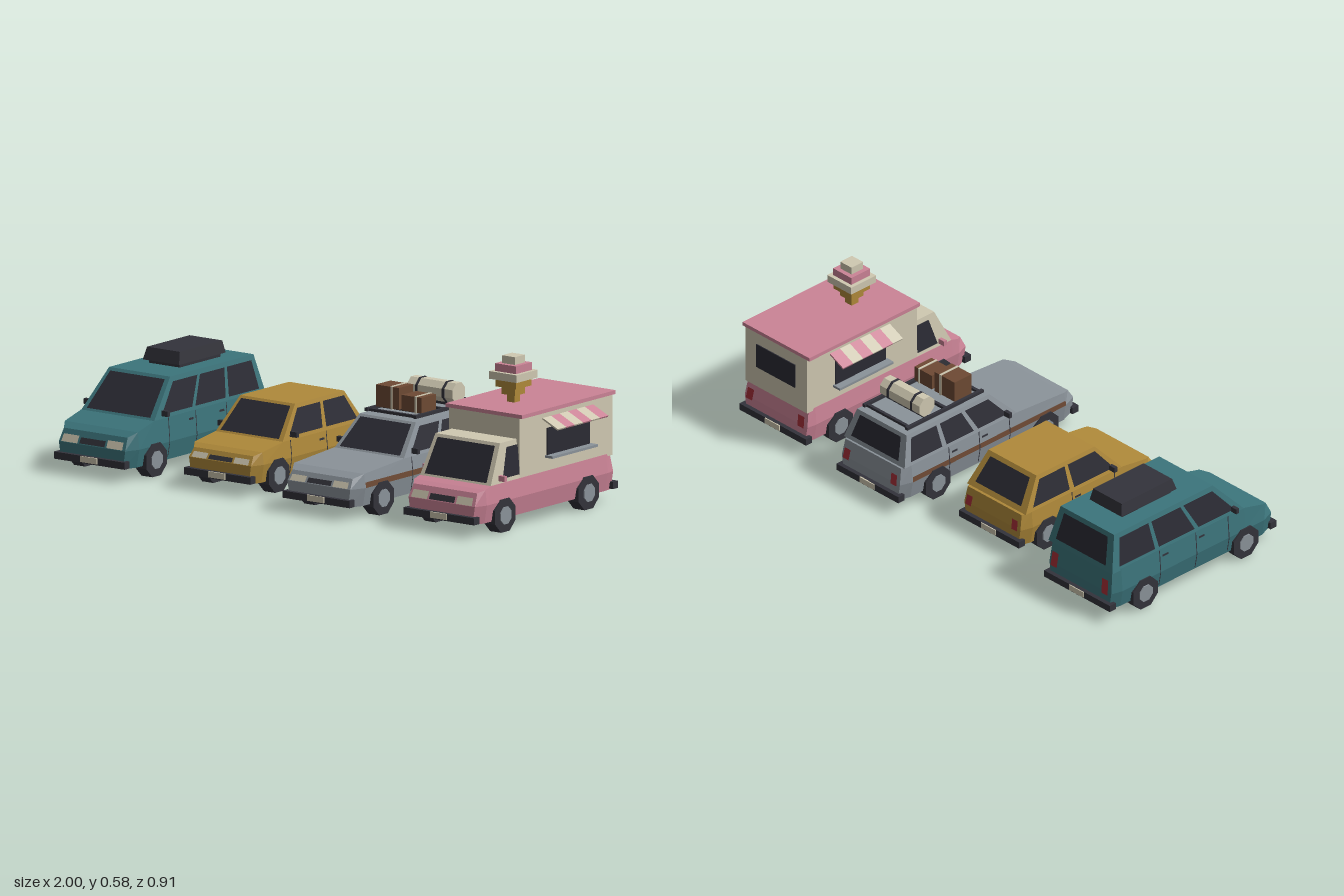
import * as THREE from 'three';

const mat = (name, color) => Object.assign(new THREE.MeshStandardMaterial({ color }), { name });
const M = {
  teal: mat('teal paint', 0x3c757c), yellow: mat('mustard paint', 0xb08a3a),
  grey: mat('grey paint', 0x8b939a), pink: mat('pink paint', 0xcc8497),
  cream: mat('cream', 0xd0c9b2), dark: mat('dark trim', 0x33333b),
  glass: mat('dark glass', 0x2b2b34), red: mat('red lamp', 0xa82f38), brown: mat('brown leather', 0x6e4a34),
};
const V = (x, y, z) => new THREE.Vector3(x, y, z);

// Flat-sided solid from polygon faces, each listed counter-clockwise from outside
function facets(faces, material, name) {
  const pos = [];
  for (const f of faces)
    for (let i = 1; i < f.length - 1; i++)
      for (const p of [f[0], f[i], f[i + 1]]) pos.push(p.x, p.y, p.z);
  const g = new THREE.BufferGeometry();
  g.setAttribute('position', new THREE.Float32BufferAttribute(pos, 3));
  g.computeVertexNormals();
  const m = new THREE.Mesh(g, material);
  m.name = name;
  return m;
}

function box(name, material, w, h, d, x, y, z) {
  const m = new THREE.Mesh(new THREE.BoxGeometry(w, h, d), material);
  m.name = name;
  m.position.set(x, y, z);
  return m;
}

// Patch lying just above a quad [bl, br, tr, tl], in its u, v coordinates
function patch(q, u0, u1, v0, v1, material, name, lift = 0.003) {
  const n = q[1].clone().sub(q[0]).cross(q[3].clone().sub(q[0])).normalize().multiplyScalar(lift);
  const at = (u, v) => q[0].clone().lerp(q[1], u).lerp(q[3].clone().lerp(q[2], u), v).add(n);
  return facets([[at(u0, v0), at(u1, v0), at(u1, v1), at(u0, v1)]], material, name);
}

const BOTTOM = 0.045, FOLD = 0.112;

// Lower body lofted through stations [z, top height, half width], front to rear
function lowerBody(stations, paint) {
  const last = stations.length - 1;
  const rings = stations.map(([z, t, w], i) => {
    const zt = z + (i === 0 ? -0.022 : i === last ? 0.012 : 0);
    const b = w * 0.93, s = w * 0.96;
    return [V(-b, BOTTOM, z), V(b, BOTTOM, z), V(w, FOLD, z), V(s, t, zt), V(-s, t, zt), V(-w, FOLD, z)];
  });
  const F = rings[0], R = rings[last];
  const front = [F[5], F[2], F[3], F[4]], rear = [R[2], R[5], R[4], R[3]];
  const faces = [[F[0], F[1], F[2], F[5]], front, [R[1], R[0], R[5], R[2]], rear];
  for (let i = 0; i < last; i++)
    for (let j = 0; j < 6; j++) {
      const k = (j + 1) % 6, a = rings[i], b = rings[i + 1];
      faces.push([a[j], b[j], b[k], a[k]]);
    }
  return { mesh: facets(faces, paint, 'lowerBody'), front, rear };
}

// Tapered cabin and the quads its windows lie on
function cabin(c, paint) {
  const p = (x, top, z) => V(x, top ? c.y1 : c.y0, z);
  const [a, b, d, e] = [p(-c.w0, 0, c.zf0), p(c.w0, 0, c.zf0), p(c.w1, 1, c.zf1), p(-c.w1, 1, c.zf1)];
  const [f, g, h, i] = [p(-c.w0, 0, c.zr0), p(c.w0, 0, c.zr0), p(c.w1, 1, c.zr1), p(-c.w1, 1, c.zr1)];
  const q = { front: [a, b, d, e], rear: [g, f, i, h], left: [b, g, h, d], right: [f, a, e, i] };
  return { mesh: facets([...Object.values(q), [e, d, h, i], [a, f, g, b]], paint, 'cabin'), ...q };
}

function wheel(x, z) {
  const g = new THREE.Group();
  g.name = 'wheel';
  for (const [r, w, m, n] of [[0.065, 0.05, M.dark, 'tyre'], [0.034, 0.058, M.grey, 'hub']]) {
    const geo = new THREE.CylinderGeometry(r, r, w, 8).rotateY(Math.PI / 8).rotateZ(Math.PI / 2).toNonIndexed();
    geo.computeVertexNormals();
    const mesh = new THREE.Mesh(geo, m);
    mesh.name = n;
    g.add(mesh);
  }
  g.position.set(x, 0.06, z);
  return g;
}

function car(o) {
  const g = new THREE.Group();
  g.name = o.name;
  g.position.x = o.x;
  const body = lowerBody(o.stations, o.paint), cab = cabin(o.cabin, o.upper || o.paint);
  g.add(body.mesh, cab.mesh);
  const st = o.stations, zf = st[0][0], zr = st.at(-1)[0], w = st[2][2], top = st[2][1];
  const edge = y => (y < FOLD ? w * (0.93 + 0.07 * (y - BOTTOM) / (FOLD - BOTTOM)) : w * (1 - 0.04 * (y - FOLD) / (top - FOLD)));

  // Windows
  g.add(patch(cab.front, 0.06, 0.94, 0.06, 0.92, M.glass, 'windshield'));
  if (!o.truck) g.add(patch(cab.rear, 0.1, 0.9, 0.14, 0.88, M.glass, 'rearWindow'));
  for (const [u0, u1] of o.windows) {
    g.add(patch(cab.left, u0, u1, 0.12, 0.87, M.glass, 'sideWindow'));
    g.add(patch(cab.right, 1 - u1, 1 - u0, 0.12, 0.87, M.glass, 'sideWindow'));
  }

  // Lamps and grille
  g.add(patch(body.front, 0.31, 0.69, 0.05, 0.5, M.dark, 'grille'));
  for (const u of [0.04, 0.72]) g.add(patch(body.front, u, u + 0.24, 0.02, 0.6, M.cream, 'headlight'));
  for (const u of [0.04, 0.86]) g.add(patch(body.rear, u, u + 0.1, -0.1, 0.55, M.red, 'tailLight', 0.006));

  // Bumpers and plates
  for (const [z, s, hw] of [[zf, 1, st[0][2]], [zr, -1, st.at(-1)[2]]]) {
    g.add(box('bumper', M.dark, hw * 2 + 0.02, 0.026, 0.03, 0, 0.062, z + s * 0.002));
    g.add(box('plate', M.cream, 0.075, 0.022, 0.006, 0, 0.064, z + s * 0.018));
  }

  for (const s of [-1, 1]) {
    for (const z of o.wheels) g.add(wheel(s * (w - 0.02), z));
    g.add(box('mirror', o.mirror || M.dark, 0.028, 0.02, 0.014, s * (w + 0.004), o.cabin.y0 + 0.022, o.cabin.zf0 - 0.055));
    // Door seams and handles follow the folded side
    const strip = (z0, z1, y0, y1, m, n) => {
      const pts = [V(s * edge(y0), y0, z0), V(s * edge(y0), y0, z1), V(s * edge(y1), y1, z1), V(s * edge(y1), y1, z0)];
      const q = s > 0 ? pts : [pts[1], pts[0], pts[3], pts[2]];
      g.add(patch(q, 0, 1, 0, 1, m, n, 0.002));
    };
    for (const z of o.seams || []) {
      strip(z, z - 0.004, 0.055, FOLD, M.dark, 'doorSeam');
      strip(z, z - 0.004, FOLD, top, M.dark, 'doorSeam');
    }
    for (const z of (o.seams || []).slice(1)) strip(z + 0.04, z + 0.012, top - 0.03, top - 0.022, M.dark, 'doorHandle');
    if (o.stripe) strip(st[1][0], st.at(-2)[0], FOLD, FOLD + 0.02, M.brown, 'woodStripe');
  }
  return g;
}

function makeVan() {
  const g = car({
    name: 'van', x: -0.808, paint: M.teal, wheels: [0.25, -0.25],
    stations: [[0.4, 0.158, 0.15], [0.345, 0.175, 0.172], [0.25, 0.2, 0.172], [-0.36, 0.205, 0.172], [-0.405, 0.2, 0.16]],
    cabin: { y0: 0.198, y1: 0.338, zf0: 0.25, zf1: 0.12, zr0: -0.405, zr1: -0.37, w0: 0.165, w1: 0.138 },
    windows: [[0.05, 0.33], [0.36, 0.64], [0.67, 0.95]], seams: [0.17, 0.01, -0.17],
  });
  g.add(box('roofBoxBase', M.dark, 0.14, 0.03, 0.24, 0, 0.35, -0.145));
  const base = { y0: 0.352, y1: 0.397, zf0: -0.005, zf1: -0.02, zr0: -0.28, zr1: -0.27, w0: 0.082, w1: 0.074 };
  const lid = cabin(base, M.dark).mesh;
  lid.name = 'roofBox';
  g.add(lid);
  return g;
}

function makeHatchback() {
  return car({
    name: 'hatchback', x: -0.283, paint: M.yellow, wheels: [0.195, -0.215],
    stations: [[0.33, 0.145, 0.14], [0.28, 0.157, 0.16], [0.16, 0.175, 0.16], [-0.29, 0.175, 0.16], [-0.338, 0.17, 0.145]],
    cabin: { y0: 0.173, y1: 0.293, zf0: 0.16, zf1: 0.05, zr0: -0.318, zr1: -0.238, w0: 0.152, w1: 0.124 },
    windows: [[0.06, 0.49], [0.54, 0.94]], seams: [0.12, -0.09],
  });
}

function makeWagon() {
  const g = car({
    name: 'wagon', x: 0.245, paint: M.grey, wheels: [0.275, -0.263], stripe: true,
    stations: [[0.435, 0.148, 0.142], [0.375, 0.163, 0.165], [0.14, 0.18, 0.165], [-0.385, 0.18, 0.165], [-0.435, 0.175, 0.15]],
    cabin: { y0: 0.178, y1: 0.29, zf0: 0.14, zf1: 0.03, zr0: -0.418, zr1: -0.38, w0: 0.157, w1: 0.128 },
    windows: [[0.06, 0.33], [0.37, 0.62], [0.66, 0.95]], seams: [0.1, -0.05, -0.2],
  });
  // Roof rack
  for (const s of [-1, 1]) g.add(box('rackRail', M.dark, 0.012, 0.012, 0.38, s * 0.11, 0.304, -0.175));
  for (const z of [-0.35, -0.255, -0.165, -0.075, 0]) g.add(box('rackBar', M.dark, 0.22, 0.01, 0.012, 0, 0.303, z));
  // Suitcases with straps
  for (const [x, w, h] of [[-0.05, 0.104, 0.08], [0.06, 0.09, 0.057]]) {
    g.add(box('suitcase', M.brown, w, h, 0.085, x, 0.309 + h / 2, -0.075));
    g.add(box('suitcaseStrap', M.cream, 0.008, h + 0.005, 0.09, x + 0.02, 0.309 + h / 2, -0.075));
  }
  // Bedroll with straps
  for (const [r, w, x, m, n] of [[0.04, 0.205, 0, M.cream, 'bedroll'], [0.042, 0.01, -0.06, M.dark, 'bedrollStrap'], [0.042, 0.01, 0.06, M.dark, 'bedrollStrap']]) {
    const geo = new THREE.CylinderGeometry(r, r, w, 8).rotateY(Math.PI / 8).rotateZ(Math.PI / 2).toNonIndexed();
    geo.computeVertexNormals();
    const roll = new THREE.Mesh(geo, m);
    roll.name = n;
    roll.position.set(x, 0.347, -0.255);
    g.add(roll);
  }
  return g;
}

function makeTruck() {
  const g = car({
    name: 'iceCreamTruck', x: 0.772, paint: M.pink, upper: M.cream, mirror: M.pink, truck: true, wheels: [0.248, -0.243],
    stations: [[0.398, 0.158, 0.15], [0.35, 0.168, 0.168], [0.318, 0.177, 0.168], [-0.36, 0.18, 0.168], [-0.4, 0.178, 0.162]],
    cabin: { y0: 0.175, y1: 0.32, zf0: 0.318, zf1: 0.245, zr0: 0.14, zr1: 0.14, w0: 0.16, w1: 0.146 },
    windows: [[0.36, 0.95]],
  });
  // Serving box and roof
  g.add(box('servingBox', M.cream, 0.32, 0.226, 0.547, 0, 0.284, -0.1255));
  g.add(box('boxRoof', M.pink, 0.346, 0.014, 0.55, 0, 0.403, -0.1255));
  g.add(box('rearWindow', M.glass, 0.2, 0.095, 0.006, 0, 0.302, -0.4));
  for (const s of [-1, 1]) {
    g.add(box('servingWindow', M.glass, 0.006, 0.1, 0.25, s * 0.161, 0.285, -0.137));
    g.add(box('servingShelf', M.grey, 0.035, 0.009, 0.268, s * 0.177, 0.232, -0.136));
    for (let i = 0; i < 6; i++) {
      const stripe = box('awningStripe', i % 2 ? M.pink : M.cream, 0.078, 0.006, 0.0495, s * 0.192, 0.357, -0.013 - i * 0.0495);
      stripe.rotation.z = -s * 0.44;
      g.add(stripe);
    }
  }
  // Stepped ice cream sign
  const tiers = [[0.017, M.yellow], [0.03, M.yellow], [0.046, M.yellow], [0.062, M.cream], [0.047, M.pink], [0.029, M.cream]];
  tiers.forEach(([r, m], i) => g.add(box(i < 3 ? 'coneTier' : 'scoopTier', m, r * 2, 0.0283, r * 2, 0, 0.4242 + i * 0.0283, -0.024)));
  return g;
}

export function createModel() {
  const model = new THREE.Group();
  model.name = 'parkedVehicles';
  model.add(makeVan(), makeHatchback(), makeWagon(), makeTruck());
  return model;
}
